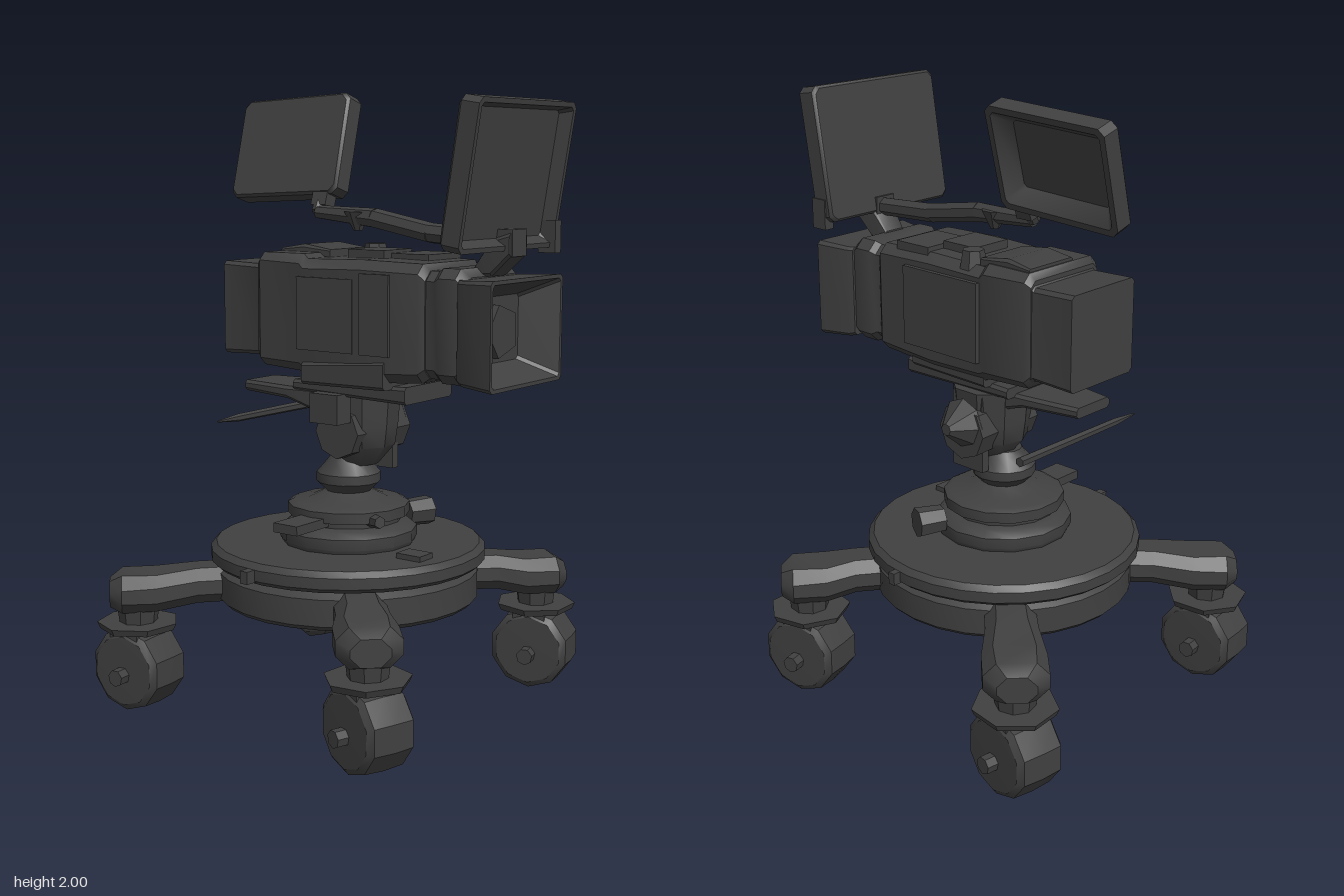
import * as THREE from 'three';
import { toCreasedNormals } from 'three/addons/utils/BufferGeometryUtils.js';

const dark = new THREE.MeshStandardMaterial({ color: 0x404040 });
dark.name = 'charcoal';

export function createModel() {
  const model = new THREE.Group();
  model.name = 'studioCamera';

  const add = (name, geo, pos = [0, 0, 0], rot = [0, 0, 0], parent = model) => {
    const mesh = new THREE.Mesh(toCreasedNormals(geo, 0.6), dark);
    mesh.name = name;
    mesh.position.set(...pos);
    mesh.rotation.set(...rot);
    parent.add(mesh);
    return mesh;
  };
  const box = (name, x0, x1, y0, y1, z0, z1, parent) =>
    add(name, new THREE.BoxGeometry(x1 - x0, y1 - y0, z1 - z0),
      [(x0 + x1) / 2, (y0 + y1) / 2, (z0 + z1) / 2], [0, 0, 0], parent);
  const lathe = (profile, sides) =>
    new THREE.LatheGeometry(profile.map(p => new THREE.Vector2(...p)), sides);
  // tapered bar between two points
  const bar = (name, a, b, r0, r1, sides) => {
    const A = new THREE.Vector3(...a), B = new THREE.Vector3(...b);
    const d = B.clone().sub(A);
    const mesh = add(name, new THREE.CylinderGeometry(r1, r0, d.length(), sides),
      A.clone().add(B).multiplyScalar(0.5).toArray());
    mesh.quaternion.setFromUnitVectors(new THREE.Vector3(0, 1, 0), d.normalize());
  };
  // skin over chamfered rectangles [x, y0, y1, z0, z1, chamfer] set along x
  const loft = (sections) => {
    const pos = [], idx = [];
    for (const [x, y0, y1, z0, z1, c] of sections) {
      for (const [y, z] of [[y1, z0 + c], [y1, z1 - c], [y1 - c, z1], [y0 + c, z1],
        [y0, z1 - c], [y0, z0 + c], [y0 + c, z0], [y1 - c, z0]]) pos.push(x, y, z);
    }
    const n = sections.length;
    for (let i = 0; i < n - 1; i++) for (let j = 0; j < 8; j++) {
      const a = i * 8 + j, b = i * 8 + (j + 1) % 8;
      idx.push(a, b, b + 8, a, b + 8, a + 8);
    }
    for (let j = 1; j < 7; j++) {
      const e = (n - 1) * 8;
      idx.push(0, j + 1, j, e, e + j, e + j + 1);
    }
    const g = new THREE.BufferGeometry();
    g.setAttribute('position', new THREE.Float32BufferAttribute(pos, 3));
    g.setIndex(idx);
    return g;
  };

  // Base: thick platform over a slightly smaller drum
  const cx = -0.035, cz = 0.005;
  add('basePlatform', lathe([[0, 0.355], [0.415, 0.355], [0.43, 0.37], [0.43, 0.455], [0.4, 0.475],
    [0.4, 0.485], [0.435, 0.48], [0.453, 0.495], [0.453, 0.53], [0.435, 0.548], [0, 0.548]], 28), [cx, 0, cz]);
  box('platformStudFront', -0.085, -0.055, 0.49, 0.53, 0.44, 0.49);
  box('platformStudBack', 0, 0.025, 0.49, 0.53, -0.47, -0.43);
  box('platformCatch', 0.25, 0.34, 0.545, 0.565, 0.06, 0.13);

  // Four flattened legs with swivel casters
  const casters = [[-0.535, 0.485, 0.1], [0.4, 0.48, -0.3], [-0.53, -0.485, -0.15], [0.39, -0.495, 0.25]];
  for (const [x, z, yaw] of casters) {
    const leg = new THREE.Group();
    leg.name = 'leg';
    leg.position.set(cx, 0, cz);
    leg.rotation.y = -Math.atan2(z - cz, x - cx);
    model.add(leg);
    const reach = Math.hypot(x - cx, z - cz);
    add('legArm', loft([[0.3, 0.36, 0.475, -0.08, 0.08, 0.035], [0.5, 0.355, 0.47, -0.083, 0.083, 0.035],
      [reach - 0.06, 0.335, 0.455, -0.1, 0.1, 0.035], [reach + 0.05, 0.33, 0.455, -0.1, 0.1, 0.04],
      [reach + 0.09, 0.345, 0.43, -0.06, 0.06, 0.03]]), [0, 0, 0], [0, 0, 0], leg);

    const caster = new THREE.Group();
    caster.name = 'caster';
    caster.position.set(x, 0, z);
    caster.rotation.y = yaw;
    model.add(caster);
    add('casterStem', new THREE.CylinderGeometry(0.07, 0.06, 0.08, 8), [0, 0.31, 0], [0, 0, 0], caster);
    add('casterPlate', new THREE.CylinderGeometry(0.135, 0.125, 0.022, 7), [0, 0.278, 0], [0, 0, 0], caster);
    box('casterHousing', -0.055, 0.055, 0.17, 0.272, -0.08, 0.08, caster);
    add('wheel', lathe([[0, -0.088], [0.115, -0.085], [0.135, -0.07], [0.139, 0],
      [0.135, 0.07], [0.115, 0.085], [0, 0.088]], 10), [0, 0.139, 0], [Math.PI / 2, 0, 0], caster);
    add('axle', new THREE.CylinderGeometry(0.028, 0.028, 0.25, 7), [0, 0.125, 0], [Math.PI / 2, 0, 0], caster);
  }

  // Pedestal rings, neck and pan head
  add('pedestal', lathe([[0.215, 0.54], [0.225, 0.56], [0.225, 0.595], [0.2, 0.615], [0.175, 0.62], [0.175, 0.635],
    [0.2, 0.64], [0.2, 0.675], [0.18, 0.685], [0.13, 0.69], [0.075, 0.715], [0.105, 0.745], [0.105, 0.775],
    [0.07, 0.815], [0.06, 0.83], [0, 0.83]], 14), [-0.025, 0, 0.015]);
  box('ringLever', -0.075, 0.02, 0.625, 0.655, 0.18, 0.34);
  add('ringKnob', new THREE.CylinderGeometry(0.045, 0.05, 0.09, 7), [0.08, 0.61, -0.23], [Math.PI / 2, 0, 0.4]);
  bar('ringLock', [0.12, 0.645, 0.09], [0.18, 0.65, 0.12], 0.025, 0.02, 6);
  add('panHead', lathe([[0, 0.8], [0.06, 0.805], [0.115, 0.87], [0.125, 0.94], [0.13, 1.0],
    [0.135, 1.05], [0, 1.05]], 9), [0.01, 0, 0]);
  bar('tiltHub', [0.01, 0.92, 0.125], [0.01, 0.92, -0.15], 0.085, 0.095, 8);
  bar('tiltCone', [0.01, 0.945, -0.14], [0.01, 0.945, -0.22], 0.085, 0.02, 8);
  box('headCheekFront', -0.04, 0.07, 0.96, 1.055, 0.13, 0.2);
  box('headCheekBack', -0.05, 0.08, 0.78, 1.04, -0.115, -0.085);
  bar('panHandle', [-0.34, 0.945, 0.2], [-0.34, 0.945, -0.26], 0.013, 0.016, 6);
  bar('panHandleTip', [-0.34, 0.945, 0.3], [-0.34, 0.945, 0.2], 0.003, 0.013, 6);

  // Mounting plates below the body
  add('rearPlate', loft([[-0.37, 1.025, 1.06, -0.03, 0.13, 0.01], [-0.17, 1.02, 1.06, -0.06, 0.16, 0.01],
    [-0.04, 0.98, 1.06, -0.07, 0.15, 0.01]]));
  add('topPlate', loft([[-0.14, 1.05, 1.085, -0.1, 0.16, 0.01], [0.3, 1.04, 1.095, -0.1, 0.16, 0.01]]));
  add('bodyCradle', loft([[-0.07, 1.08, 1.15, -0.13, 0.205, 0.01], [0.25, 1.085, 1.175, -0.13, 0.205, 0.01]]));

  // Camera body, rear housing and lens section
  add('rearHousing', loft([[-0.43, 1.15, 1.455, -0.135, 0.16, 0.012], [-0.28, 1.155, 1.45, -0.135, 0.16, 0.012],
    [-0.26, 1.14, 1.47, -0.14, 0.17, 0.012]]));
  add('cameraBody', loft([[-0.275, 1.15, 1.47, -0.14, 0.17, 0.02], [-0.255, 1.125, 1.49, -0.15, 0.185, 0.025],
    [-0.09, 1.115, 1.49, -0.155, 0.19, 0.03], [-0.07, 1.105, 1.475, -0.15, 0.195, 0.03],
    [0.15, 1.1, 1.48, -0.15, 0.2, 0.03], [0.37, 1.115, 1.475, -0.15, 0.195, 0.03],
    [0.39, 1.13, 1.455, -0.135, 0.185, 0.03]]));
  add('lensSection', loft([[0.37, 1.13, 1.455, -0.125, 0.18, 0.03], [0.42, 1.13, 1.455, -0.125, 0.18, 0.03],
    [0.44, 1.12, 1.465, -0.135, 0.19, 0.03], [0.5, 1.12, 1.465, -0.135, 0.19, 0.03],
    [0.53, 1.14, 1.44, -0.13, 0.18, 0.03]]));
  // hood: outer shell folds over the rim and back inside
  add('lensHood', loft([[0.515, 1.13, 1.435, -0.14, 0.2, 0.01], [0.535, 1.125, 1.435, -0.15, 0.215, 0.01],
    [0.655, 1.115, 1.44, -0.17, 0.24, 0.012], [0.655, 1.127, 1.428, -0.158, 0.228, 0.01],
    [0.55, 1.18, 1.38, -0.085, 0.155, 0.01]]));
  add('lensGlass', new THREE.CylinderGeometry(0.085, 0.085, 0.02, 5), [0.56, 1.275, 0.03], [0, 0, -Math.PI / 2]);

  // Raised details on the body
  box('sidePanel', -0.09, 0.13, 1.19, 1.42, 0.18, 0.203);
  box('sideBand', 0.16, 0.27, 1.19, 1.44, 0.19, 0.207);
  box('backPanel', -0.07, 0.25, 1.17, 1.43, -0.165, -0.14);
  add('topCover', loft([[-0.25, 1.48, 1.5, -0.12, 0.08, 0.005], [-0.16, 1.48, 1.515, -0.12, 0.08, 0.01],
    [-0.05, 1.47, 1.5, -0.12, 0.08, 0.005]]));
  box('topBlock', 0.03, 0.17, 1.46, 1.505, -0.06, 0.09);
  add('topKnob', new THREE.CylinderGeometry(0.035, 0.045, 0.06, 7), [0.0, 1.485, -0.1]);
  box('topRail', 0.17, 0.31, 1.46, 1.495, -0.13, 0.05);

  // Jointed arm carrying both screens
  const armPath = [[-0.17, 1.665, -0.03], [-0.16, 1.615, 0.0], [0.08, 1.6, 0.015], [0.3, 1.56, 0.025], [0.6, 1.54, 0.03]];
  const armRadius = [0.018, 0.022, 0.032, 0.032, 0.03];
  for (let i = 0; i < 4; i++) bar('screenArm', armPath[i], armPath[i + 1], armRadius[i], armRadius[i + 1], 7);
  add('armElbow', new THREE.CylinderGeometry(0.045, 0.015, 0.06, 7), [0.01, 1.59, 0.01]);
  add('armPost', loft([[0.49, 1.44, 1.47, -0.01, 0.07, 0.005], [0.55, 1.44, 1.55, -0.02, 0.08, 0.01],
    [0.615, 1.5, 1.57, -0.02, 0.08, 0.01]]));

  // Screens: trays facing local +x whose rim slopes in to a sunken face
  const screen = (name, w, h, rim, slope, sink, chamfer) => {
    const rect = (x, inset, c) => [x, -h / 2 + inset, h / 2 - inset, -w / 2 + inset, w / 2 - inset, c];
    return add(name, loft([rect(-0.035, 0.008, chamfer), rect(-0.025, 0, chamfer), rect(0.035, 0, chamfer),
      rect(0.035, rim, chamfer * 0.6), rect(0.035 - sink, rim + slope, chamfer * 0.5)]));
  };
  const large = screen('largeScreen', 0.54, 0.44, 0.015, 0.015, 0.04, 0.018);
  large.position.set(0.6, 1.74, 0.06);
  large.rotation.z = -0.16;
  box('largeScreenHinge', 0.53, 0.62, 1.5, 1.58, -0.01, 0.07);
  box('largeScreenLatch', 0.56, 0.62, 1.5, 1.6, -0.215, -0.18);

  const small = screen('smallScreen', 0.45, 0.34, 0.02, 0.04, 0.05, 0.02);
  small.position.set(-0.33, 1.82, -0.09);
  small.rotation.set(-0.3, Math.PI / 2, 0.045, 'ZXY');
  add('smallScreenHinge', new THREE.BoxGeometry(0.06, 0.06, 0.05), [-0.16, 1.66, -0.03], [-0.3, 0, 0]);

  return model;
}
